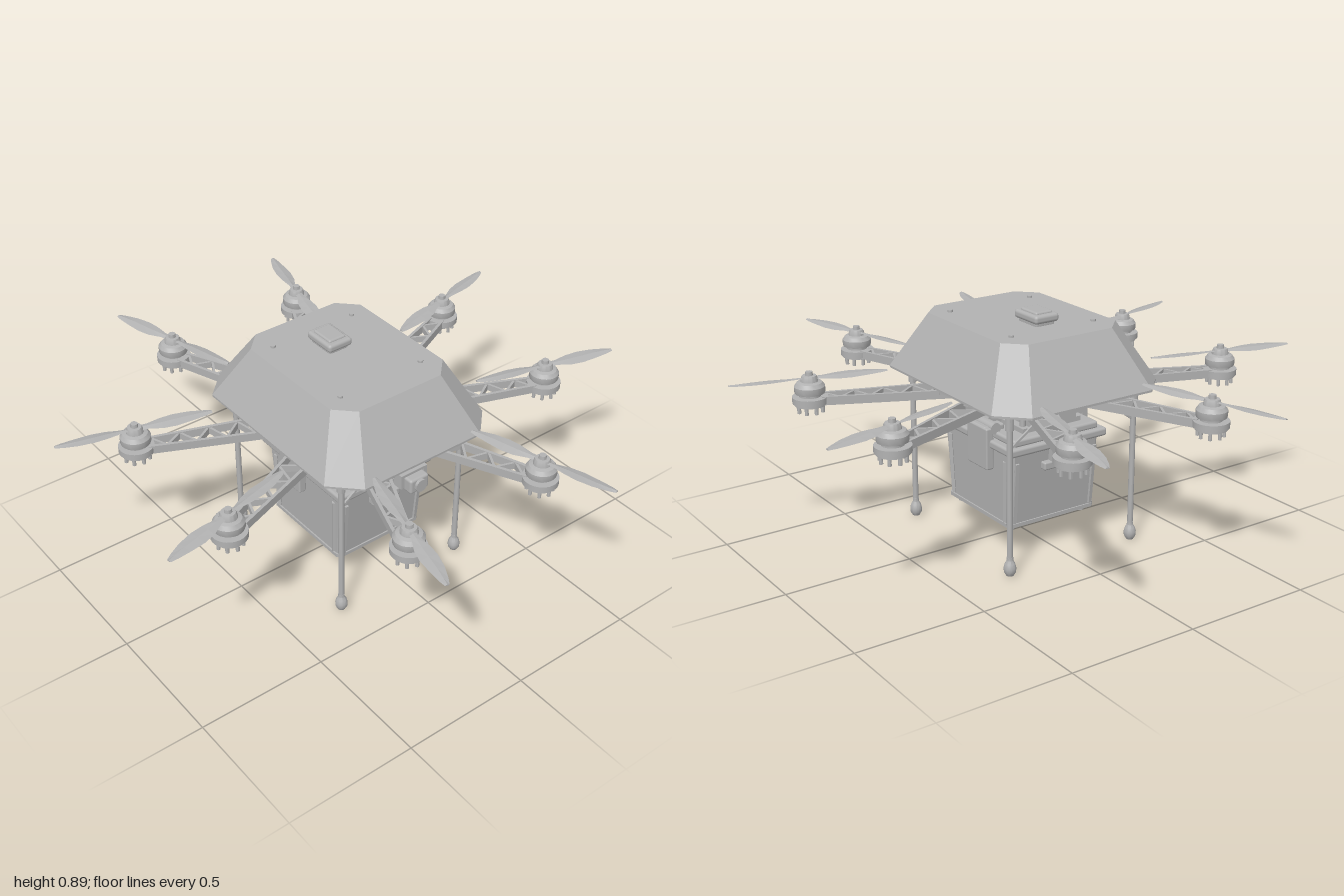
import * as THREE from 'three';
import { toCreasedNormals } from 'three/addons/utils/BufferGeometryUtils.js';
import { RoundedBoxGeometry } from 'three/addons/geometries/RoundedBoxGeometry.js';

const grey = new THREE.MeshStandardMaterial({ color: 0xb2b2b2, side: THREE.DoubleSide });
grey.name = 'neutral grey';

function add(parent, name, geo, x = 0, y = 0, z = 0) {
  const m = new THREE.Mesh(geo, grey);
  m.name = name;
  m.position.set(x, y, z);
  parent.add(m);
  return m;
}
const box = (p, name, w, h, d, x, y, z) => add(p, name, new THREE.BoxGeometry(w, h, d), x, y, z);
const soft = (p, name, w, h, d, x, y, z, r = 0.01) => add(p, name, new RoundedBoxGeometry(w, h, d, 2, r), x, y, z);
const cyl = (p, name, r, h, x, y, z, n = 20) =>
  add(p, name, toCreasedNormals(new THREE.CylinderGeometry(r, r, h, n), 0.7), x, y, z);
const lathe = (pts, n = 28) =>
  toCreasedNormals(new THREE.LatheGeometry(pts.map(([r, y]) => new THREE.Vector2(r, y)), n), 0.6);

// Straight square-section bar between two points
function bar(p, name, a, b, w, h = w) {
  const A = new THREE.Vector3(...a), B = new THREE.Vector3(...b);
  const m = new THREE.Mesh(new THREE.BoxGeometry(w, h, A.distanceTo(B)), grey);
  m.name = name;
  m.position.copy(A).lerp(B, 0.5);
  m.lookAt(B);
  p.add(m);
}

// Faceted skin through matching rings, with optional end caps
function loft(rings, capStart = true, capEnd = true) {
  const pos = [], n = rings[0].length;
  const tri = (...v) => v.forEach((q) => pos.push(...q));
  for (let i = 0; i < rings.length - 1; i++) {
    for (let j = 0; j < n; j++) {
      const k = (j + 1) % n, a = rings[i], b = rings[i + 1];
      tri(a[j], b[j], a[k]);
      tri(a[k], b[j], b[k]);
    }
  }
  const first = rings[0], last = rings[rings.length - 1];
  for (let j = 1; j < n - 1; j++) {
    if (capStart) tri(first[0], first[j], first[j + 1]);
    if (capEnd) tri(last[0], last[j + 1], last[j]);
  }
  const g = new THREE.BufferGeometry();
  g.setAttribute('position', new THREE.Float32BufferAttribute(pos, 3));
  g.computeVertexNormals();
  return g;
}

// Rectangle with cut corners, as a horizontal ring
const ring = (hx, hz, c, y) => [
  [hx, y, -hz + c], [hx, y, hz - c], [hx - c, y, hz], [-hx + c, y, hz],
  [-hx, y, hz - c], [-hx, y, -hz + c], [-hx + c, y, -hz], [hx - c, y, -hz],
];

// Blade sections: radius, trailing edge, leading edge
const bladeRows = [
  [0.01, -0.012, 0.012], [0.05, -0.013, 0.015], [0.10, -0.024, 0.03],
  [0.15, -0.029, 0.034], [0.21, -0.024, 0.028], [0.26, -0.012, 0.021], [0.288, -0.002, 0.014],
];
const bladeGeo = loft(bladeRows.map(([r, t, l], i) => {
  const tilt = 0.2 * (1 - i / 8), mid = (t + l) / 2;
  return [[r, -tilt * t, t], [r, 0.004 - tilt * mid, mid], [r, -tilt * l, l], [r, -0.002 - tilt * mid, mid]];
}));

const motorGeo = lathe([
  [0, 0.60], [0.04, 0.60], [0.04, 0.61], [0.054, 0.612], [0.056, 0.618], [0.056, 0.638], [0.046, 0.652],
  [0.032, 0.656], [0.03, 0.668], [0.026, 0.677], [0.014, 0.678], [0.013, 0.692], [0, 0.692],
]);

function buildArm(side) {
  const arm = new THREE.Group();
  arm.name = 'rotorArm';
  const R = 0.78, y = 0.586, steps = 9;
  const half = (r) => 0.052 - 0.026 * (r - 0.2) / 0.54;
  // Tapered truss: two rails with zigzag bracing
  for (const s of [-1, 1]) {
    bar(arm, 'armRail', [0.2, y, s * half(0.2)], [0.74, y, s * half(0.74)], 0.012, 0.032);
  }
  for (let i = 0; i < steps; i++) {
    const r0 = 0.24 + i * 0.054, r1 = r0 + 0.054, s = i % 2 ? 1 : -1;
    bar(arm, 'armBrace', [r0, y, s * half(r0)], [r1, y, -s * half(r1)], 0.009, 0.026);
  }
  box(arm, 'armClamp', 0.09, 0.03, 0.115, 0.27, 0.602, 0);
  // Motor with mounting disc and pegs
  cyl(arm, 'motorMount', 0.065, 0.024, R, 0.587, 0, 28);
  cyl(arm, 'motorMountLip', 0.058, 0.01, R, 0.572, 0, 28);
  add(arm, 'motor', motorGeo, R, 0, 0);
  for (let i = 0; i < 8; i++) {
    const a = (i + 0.5) * Math.PI / 4;
    cyl(arm, 'mountPeg', 0.007, 0.032, R + 0.046 * Math.cos(a), 0.556, 0.046 * Math.sin(a), 8);
  }
  // Two-blade propeller, mirrored on alternate arms
  const prop = new THREE.Group();
  prop.name = 'propeller';
  prop.position.set(R, 0.667, 0);
  prop.rotation.y = side * 0.14;
  prop.scale.z = side;
  for (const turn of [0, Math.PI]) add(prop, 'blade', bladeGeo).rotation.y = turn;
  arm.add(prop);
  return arm;
}

export function createModel() {
  const model = new THREE.Group();
  model.name = 'cargoDrone';

  // Faceted body shell with a narrow rim
  add(model, 'shell', loft([
    ring(0.34, 0.425, 0.095, 0.634), ring(0.362, 0.445, 0.1, 0.63),
    ring(0.362, 0.445, 0.1, 0.638), ring(0.252, 0.308, 0.07, 0.85),
  ], false, true));
  add(model, 'upperPlate', loft([ring(0.3, 0.37, 0.1, 0.604), ring(0.3, 0.37, 0.1, 0.616)]));
  add(model, 'lowerPlate', loft([ring(0.21, 0.25, 0.09, 0.56), ring(0.21, 0.25, 0.09, 0.571)]));
  add(model, 'frameCore', loft([ring(0.16, 0.19, 0.06, 0.57), ring(0.16, 0.19, 0.06, 0.64)]));

  // Receiver cap and shell screws
  soft(model, 'receiverBase', 0.085, 0.03, 0.115, -0.005, 0.857, -0.092);
  soft(model, 'receiverCap', 0.105, 0.032, 0.14, -0.005, 0.876, -0.092, 0.012);
  soft(model, 'receiverTop', 0.075, 0.02, 0.1, -0.005, 0.89, -0.092, 0.008);
  for (const x of [-0.18, 0.18]) for (const z of [-0.2, 0.2]) cyl(model, 'shellScrew', 0.01, 0.012, x, 0.852, z, 12);

  // Eight rotor arms
  for (let k = 0; k < 8; k++) {
    const arm = buildArm(k % 2 ? -1 : 1);
    arm.rotation.y = -(k + 0.5) * Math.PI / 4;
    model.add(arm);
  }

  // Landing legs with bulb feet and thin braces
  const footGeo = lathe([[0, 0], [0.014, 0.004], [0.022, 0.018], [0.023, 0.034], [0.019, 0.05], [0.012, 0.062], [0.012, 0.075], [0, 0.075]], 20);
  for (const sx of [-1, 1]) for (const sz of [-1, 1]) {
    const leg = new THREE.Group();
    leg.name = 'landingLeg';
    const x = sx * 0.275, z = sz * 0.327;
    cyl(leg, 'legTube', 0.011, 0.54, x, 0.335, z, 14);
    cyl(leg, 'legSocket', 0.016, 0.045, x, 0.585, z, 14);
    add(leg, 'foot', footGeo, x, 0.005, z);
    bar(leg, 'legBrace', [x, 0.49, z], [sx * 0.16, 0.57, z], 0.008);
    bar(leg, 'legBrace', [x, 0.54, z], [sx * 0.17, 0.565, sz * 0.18], 0.01);
    model.add(leg);
  }

  // Cargo box, slightly narrower at the bottom
  const cargo = new THREE.Group();
  cargo.name = 'cargoBox';
  add(cargo, 'boxBody', loft([ring(0.19, 0.202, 0.015, 0.13), ring(0.198, 0.228, 0.015, 0.425)]));
  add(cargo, 'boxBase', loft([ring(0.182, 0.19, 0.015, 0.113), ring(0.196, 0.208, 0.015, 0.122), ring(0.196, 0.208, 0.015, 0.136)]));
  soft(cargo, 'boxLid', 0.435, 0.032, 0.495, 0, 0.43, -0.002);
  soft(cargo, 'lidStep', 0.38, 0.03, 0.43, 0, 0.457, -0.015);
  for (const s of [-1, 1]) {
    box(cargo, 'latch', 0.065, 0.06, 0.03, 0, 0.39, s * 0.232);
    soft(cargo, 'handle', 0.13, 0.03, 0.03, 0, 0.35, s * 0.232, 0.006);
    for (const t of [-1, 1]) {
      bar(cargo, 'endRib', [t * 0.172, 0.14, s * 0.204], [t * 0.174, 0.38, s * 0.226], 0.014);
      bar(cargo, 'sideRib', [s * 0.191, 0.14, t * 0.172], [s * 0.197, 0.38, t * 0.182], 0.014);
      cyl(cargo, 'boxFoot', 0.014, 0.02, s * 0.16, 0.111, t * 0.165, 12);
    }
    // Side grips that hold the box
    soft(cargo, 'gripPlate', 0.032, 0.16, 0.13, s * 0.215, 0.41, -0.05, 0.006);
    soft(cargo, 'gripArm', 0.09, 0.035, 0.1, s * 0.185, 0.475, -0.05, 0.008);
    cyl(cargo, 'gripHinge', 0.022, 0.13, s * 0.19, 0.485, -0.05, 16).rotation.x = Math.PI / 2;
    bar(cargo, 'gripLink', [s * 0.165, 0.485, -0.05], [s * 0.125, 0.56, -0.05], 0.022, 0.06);
  }
  model.add(cargo);

  // Battery and suspension under the frame
  box(model, 'releaseTray', 0.26, 0.018, 0.38, 0, 0.487, -0.01);
  box(model, 'batteryBox', 0.2, 0.055, 0.34, 0, 0.525, -0.04);
  box(model, 'batteryCover', 0.15, 0.02, 0.3, 0, 0.553, -0.04);
  for (const x of [-0.11, 0.11]) for (const z of [-0.17, 0.155]) cyl(model, 'damper', 0.011, 0.1, x, 0.515, z, 12);

  // Nose camera on its bracket
  const cam = new THREE.Group();
  cam.name = 'camera';
  box(cam, 'cameraRail', 0.07, 0.016, 0.24, 0, 0.552, 0.26);
  box(cam, 'cameraBracket', 0.2, 0.05, 0.03, 0, 0.53, 0.2);
  soft(cam, 'cameraBody', 0.085, 0.06, 0.085, 0, 0.522, 0.385);
  for (const s of [-1, 1]) box(cam, 'cameraYoke', 0.014, 0.05, 0.04, s * 0.052, 0.53, 0.375);
  box(cam, 'cameraYokeTop', 0.118, 0.01, 0.04, 0, 0.558, 0.375);
  cyl(cam, 'cameraLens', 0.025, 0.016, 0, 0.522, 0.43, 20).rotation.x = Math.PI / 2;
  model.add(cam);

  return model;
}
